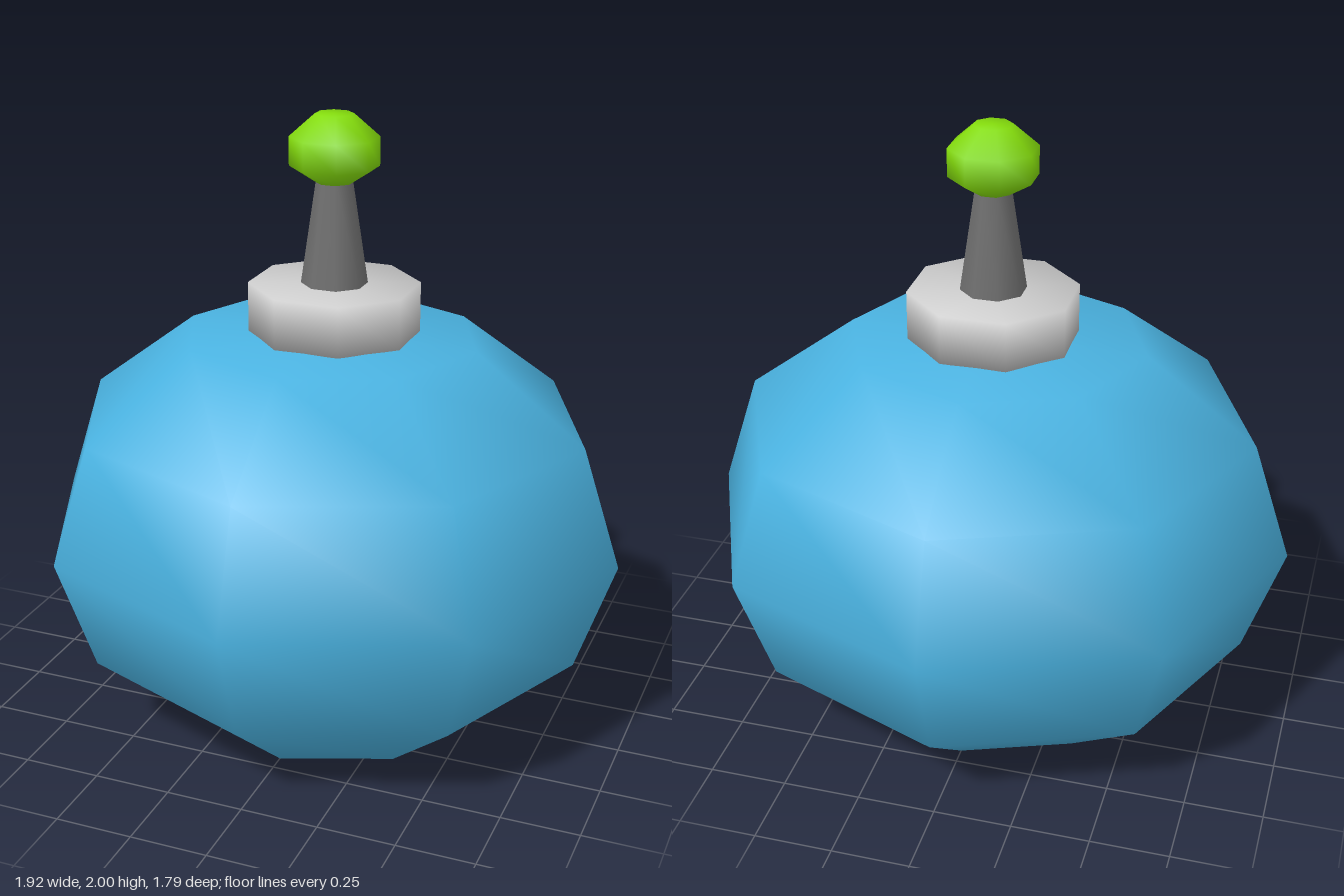
import * as THREE from 'three';

// Smooth eight-sided turned part; profile runs [radius, y] from bottom to top
function turned(name, color, profile, turn, zScale, x = 0) {
  const points = profile.map(([r, y]) => new THREE.Vector2(r, y));
  const geometry = new THREE.LatheGeometry(points, 8, turn);
  const mesh = new THREE.Mesh(geometry, new THREE.MeshStandardMaterial({ color }));
  mesh.name = name;
  mesh.scale.z = zScale;
  mesh.position.x = x;
  return mesh;
}

export function createModel() {
  const model = new THREE.Group();
  model.name = 'roundFlask';
  const half = Math.PI / 8; // puts flats on the axes instead of corners
  const offset = 0.012;     // the neck parts sit slightly off centre

  // Squat round body with a flat base and a nearly flat crown
  model.add(turned('body', 0x4ab2e0, [
    [0, 0], [0.48, 0], [0.835, 0.28], [0.96, 0.65],
    [0.835, 1.03], [0.48, 1.3], [0, 1.325],
  ], 0, 0.93));

  // Collar resting on the crown
  model.add(turned('collar', 0xcccccc, [
    [0, 1.31], [0.272, 1.31], [0.272, 1.47], [0, 1.47],
  ], half, 0.945, offset));

  // Tapered stem
  model.add(turned('stem', 0x6e6e6e, [
    [0.106, 1.465], [0.055, 1.81],
  ], half, 0.945, offset));

  // Faceted knob on top
  model.add(turned('knob', 0x84dc0c, [
    [0, 1.79], [0.06, 1.79], [0.14, 1.84], [0.14, 1.93], [0.06, 2], [0, 2],
  ], half, 0.945, offset));

  return model;
}
